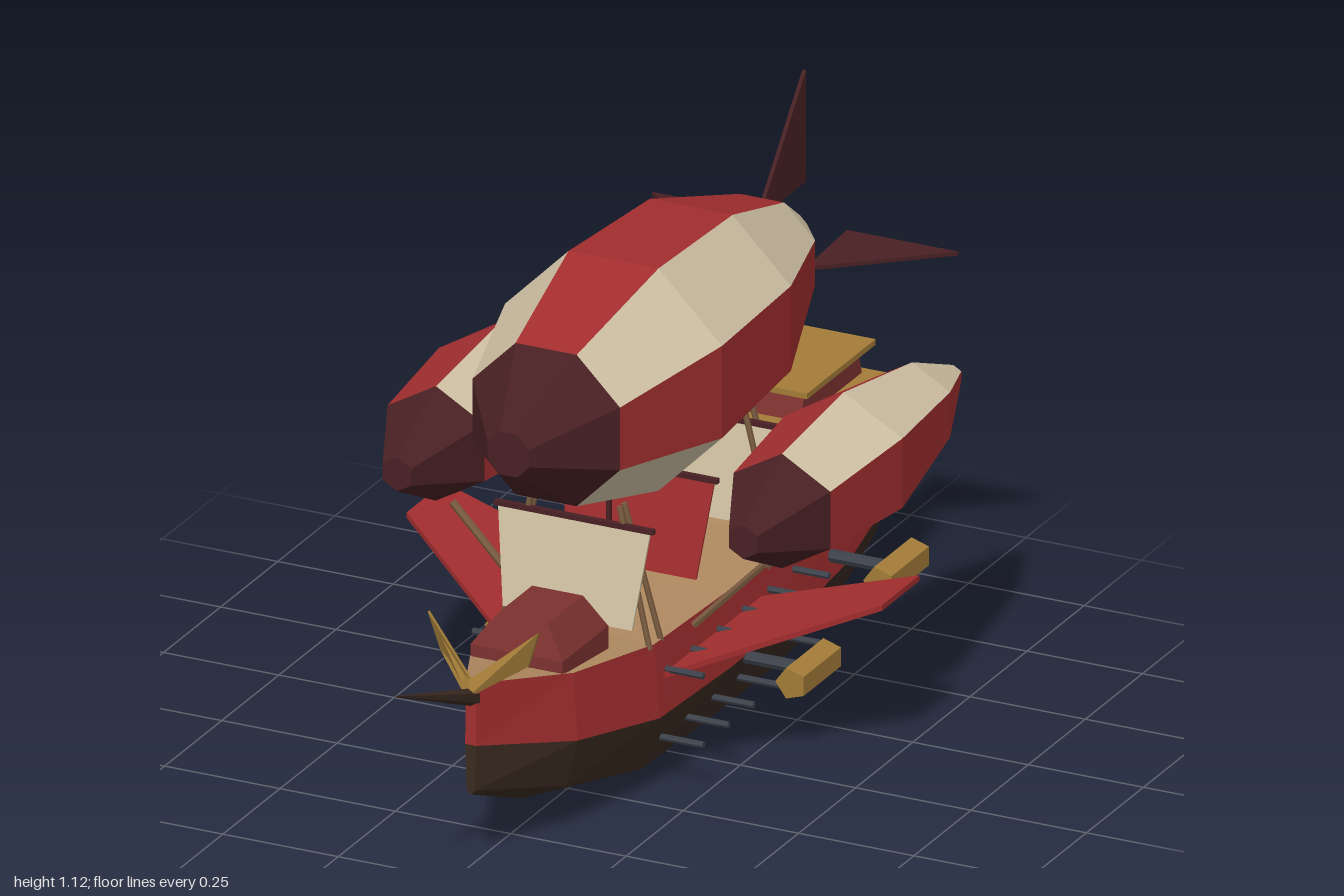
import * as THREE from 'three';

const mat = (name, color) => new THREE.MeshStandardMaterial({ name, color, flatShading: true, side: THREE.DoubleSide });
const red = mat('red', 0xa32e2f), cream = mat('cream', 0xd2c3a5), maroon = mat('maroon', 0x482023);
const hullBrown = mat('hullBrown', 0x3a2a20), gold = mat('gold', 0xa37c38), slate = mat('slate', 0x3d414a);
const tan = mat('deckTan', 0xb08a60), cabinRed = mat('cabinRed', 0x7c3230), wood = mat('strutWood', 0x7a5c40);
const V = (x, y, z) => new THREE.Vector3(x, y, z);

// Flat-faced mesh from polygons, each a loop of points
function faces(name, material, polys) {
  const pos = [];
  for (const p of polys)
    for (let i = 1; i < p.length - 1; i++) for (const v of [p[0], p[i], p[i + 1]]) pos.push(v.x, v.y, v.z);
  const g = new THREE.BufferGeometry();
  g.setAttribute('position', new THREE.Float32BufferAttribute(pos, 3));
  g.computeVertexNormals();
  const m = new THREE.Mesh(g, material);
  m.name = name;
  return m;
}

// Quads of one lengthwise strip between neighbouring cross-sections (front to back, counter-clockwise)
function strip(secs, j) {
  const n = secs[0].length, k = (j + 1) % n, out = [];
  for (let i = 0; i < secs.length - 1; i++) out.push([secs[i][j], secs[i + 1][j], secs[i + 1][k], secs[i][k]]);
  return out;
}

// Plate: an outline swept along a short offset, centred on the outline
function plate(name, material, pts, off) {
  const a = pts.map(p => p.clone().addScaledVector(off, -0.5)), b = pts.map(p => p.clone().addScaledVector(off, 0.5));
  const n = V(0, 0, 0);
  for (let i = 0; i < pts.length; i++) n.add(pts[i].clone().cross(pts[(i + 1) % pts.length]));
  if (n.dot(off) < 0) { a.reverse(); b.reverse(); }
  const sides = a.map((p, i) => { const k = (i + 1) % a.length; return [p, a[k], b[k], b[i]]; });
  return faces(name, material, [[...a].reverse(), b, ...sides]);
}

function box(name, material, w, h, d, x, y, z) {
  const m = new THREE.Mesh(new THREE.BoxGeometry(w, h, d), material);
  m.position.set(x, y, z);
  m.name = name;
  return m;
}

// Round bar from a to b
function rod(name, material, a, b, r0, r1 = r0, n = 6) {
  const d = b.clone().sub(a);
  const m = new THREE.Mesh(new THREE.CylinderGeometry(r1, r0, d.length(), n), material);
  m.position.copy(a).addScaledVector(d, 0.5);
  m.quaternion.setFromUnitVectors(V(0, 1, 0), d.normalize());
  m.name = name;
  return m;
}

// Box with a narrower top
function taperedBox(name, material, y0, y1, x0, x1, zb, zt) {
  const ring = (x, y, z) => [V(-x, y, z[0]), V(x, y, z[0]), V(x, y, z[1]), V(-x, y, z[1])];
  const b = ring(x0, y0, zb), t = ring(x1, y1, zt);
  return faces(name, material, [[...b].reverse(), t, ...b.map((p, i) => [p, b[(i + 1) % 4], t[(i + 1) % 4], t[i]])]);
}

// Striped gasbag with a dark nose; profile rows are [z, radius]
function balloon(name, x, y, sides, start, profile) {
  const g = new THREE.Group();
  g.name = name;
  const secs = profile.map(([z, r]) => Array.from({ length: sides }, (_, i) => {
    const a = start + i * 2 * Math.PI / sides;
    return V(x + r * Math.cos(a), y + r * Math.sin(a), z);
  }));
  const nose = [secs[0]], stripes = [[], []];
  for (let j = 0; j < sides; j++) {
    nose.push(...strip(secs.slice(0, 2), j));
    stripes[j % 2].push(...strip(secs.slice(1), j));
  }
  nose.push([...secs[secs.length - 1]].reverse());
  g.add(faces('nose', maroon, nose), faces('redStripes', red, stripes[0]), faces('creamStripes', cream, stripes[1]));
  return g;
}

function hull() {
  const g = new THREE.Group();
  g.name = 'hull';
  // z, half width, keel, chine, waterline, deck heights
  const rows = [[0.675, 0.012, 0.15, 0.16, 0.255, 0.387], [0.45, 0.12, 0.055, 0.1, 0.2, 0.342],
    [0.2, 0.175, 0.006, 0.048, 0.162, 0.316], [-0.1, 0.18, 0.003, 0.045, 0.155, 0.31],
    [-0.39, 0.18, 0, 0.045, 0.155, 0.314], [-0.64, 0.17, 0.03, 0.07, 0.172, 0.342], [-0.865, 0.145, 0.1, 0.13, 0.21, 0.365]];
  const secs = rows.map(([z, w, k, c, m, d]) => {
    const half = [[0.78 * w, c], [w, m], [0.93 * w, d]];
    return [...[...half].reverse().map(([x, y]) => V(-x, y, z)), V(0, k, z), ...half.map(([x, y]) => V(x, y, z))];
  });
  const bow = secs[0], stern = secs[secs.length - 1];
  g.add(faces('lowerHull', hullBrown, [...[1, 2, 3, 4].flatMap(j => strip(secs, j)), bow.slice(1, 6), [...stern].reverse()]));
  g.add(faces('upperHull', red, [...strip(secs, 0), ...strip(secs, 5), [bow[0], bow[1], bow[5], bow[6]]]));
  g.add(faces('deck', tan, strip(secs, 6)));
  return g;
}

export function createModel() {
  const g = new THREE.Group();
  g.name = 'airship';
  g.add(hull());

  // Gasbags
  const c8 = Math.cos(Math.PI / 8);
  g.add(balloon('mainBalloon', 0, 0.805, 8, -Math.PI / 8,
    [[0.51, 0.045], [0.345, 0.16], [0.05, 0.235], [-0.29, 0.216], [-0.6, 0.115], [-0.745, 0.025]].map(([z, r]) => [z, r / c8])));
  for (const x of [-0.375, 0.375])
    g.add(balloon('sideBalloon', x, 0.588, 6, -Math.PI / 6,
      [[0.24, 0.036], [0.07, 0.121], [-0.2, 0.147], [-0.5, 0.095], [-0.68, 0.02]]));

  // Tail fins
  g.add(plate('topFin', maroon, [V(0, 0.885, -0.785), V(0, 1.12, -0.785), V(0, 0.92, -0.61), V(0, 0.885, -0.59)], V(0.008, 0, 0)));

  // Bowsprit and rudder
  g.add(rod('bowsprit', hullBrown, V(0, 0.335, 0.62), V(0, 0.482, 1), 0.02, 0.002));
  g.add(plate('rudder', hullBrown, [[0.335, -0.86], [0.28, -0.97], [0.14, -1], [0.078, -0.945], [0.13, -0.86]]
    .map(([y, z]) => V(0, y, z)), V(0.016, 0, 0)));

  // Fore cabin
  g.add(taperedBox('foreCabin', cabinRed, 0.32, 0.372, 0.1, 0.1, [0.475, 0.275], [0.475, 0.275]));
  g.add(taperedBox('foreCabinRoof', cabinRed, 0.372, 0.435, 0.1, 0.055, [0.475, 0.275], [0.45, 0.295]));

  // Stern cabin in two tiers with overhanging roofs
  g.add(taperedBox('sternCabin', cabinRed, 0.32, 0.47, 0.13, 0.13, [-0.462, -0.845], [-0.485, -0.835]));
  g.add(box('lowerRoof', gold, 0.31, 0.012, 0.4, 0, 0.474, -0.657));
  g.add(taperedBox('upperCabin', cabinRed, 0.48, 0.532, 0.1, 0.1, [-0.565, -0.835], [-0.585, -0.82]));
  g.add(box('upperRoof', gold, 0.23, 0.012, 0.3, 0, 0.536, -0.715));
  g.add(box('sternBand', gold, 0.28, 0.03, 0.012, 0, 0.385, -0.862));

  // Sails on crossbars, with masts
  [[0.235, cream], [-0.045, red], [-0.335, cream]].forEach(([z, m]) => {
    g.add(plate('sail', m, [V(-0.14, 0.36, z + 0.015), V(0.14, 0.36, z + 0.015), V(0.165, 0.56, z - 0.015), V(-0.165, 0.56, z - 0.015)], V(0, 0, 0.005)));
    g.add(box('sailBar', maroon, 0.345, 0.01, 0.012, 0, 0.562, z - 0.015));
  });
  for (const z of [0.07, -0.062]) g.add(rod('mast', maroon, V(0, 0.3, z), V(0, 0.6, z), 0.006));

  for (const s of [-1, 1]) {
    // Horizontal tail fins
    g.add(plate('sideFin', maroon, [V(s * 0.09, 0.793, -0.79), V(s * 0.332, 0.793, -0.79), V(s * 0.1, 0.793, -0.59)], V(0, 0.008, 0)));

    // Figurehead wings
    g.add(plate('figureheadWing', gold, [V(0, 0.36, 0.69), V(s * 0.095, 0.415, 0.612), V(s * 0.12, 0.493, 0.617), V(0, 0.395, 0.675)], V(0, 0, 0.008)));

    // Swept side wings
    g.add(plate('sideWing', red, [V(s * 0.17, 0.24, 0.17), V(s * 0.515, 0.35, -0.085), V(s * 0.515, 0.35, -0.25), V(s * 0.17, 0.24, -0.25)], V(0, 0.012, 0)));

    // Struts up to the gasbags
    for (const z of [0.07, -0.25]) g.add(rod('sideStrut', wood, V(s * 0.185, 0.312, z), V(s * 0.34, 0.472, z), 0.008));
    for (const [z, lean] of [[0.215, 0], [0.165, 0.03], [-0.34, 0.01], [-0.4, 0.04]])
      g.add(rod('mainStrut', wood, V(s * 0.16, 0.31, z), V(s * 0.095, 0.6, z + lean), 0.006));

    // Engines on pylons
    for (const [y, z] of [[0.149, -0.172], [0.214, -0.557]]) {
      const e = rod('engine', gold, V(s * 0.315, y, z - 0.082), V(s * 0.315, y, z + 0.082), 0.034, 0.034, 5);
      e.rotation.set(Math.PI / 2, -Math.PI / 2, 0);
      g.add(e, rod('enginePylon', slate, V(s * 0.15, y, z), V(s * 0.3, y, z), 0.013));
    }

    // Two rows of guns
    for (let i = 0; i < 6; i++) for (const y of [0.25, 0.104])
      g.add(rod('gun', slate, V(s * 0.14, y, 0.16 - i * 0.11), V(s * 0.25, y, 0.16 - i * 0.11), 0.007));
  }
  return g;
}
